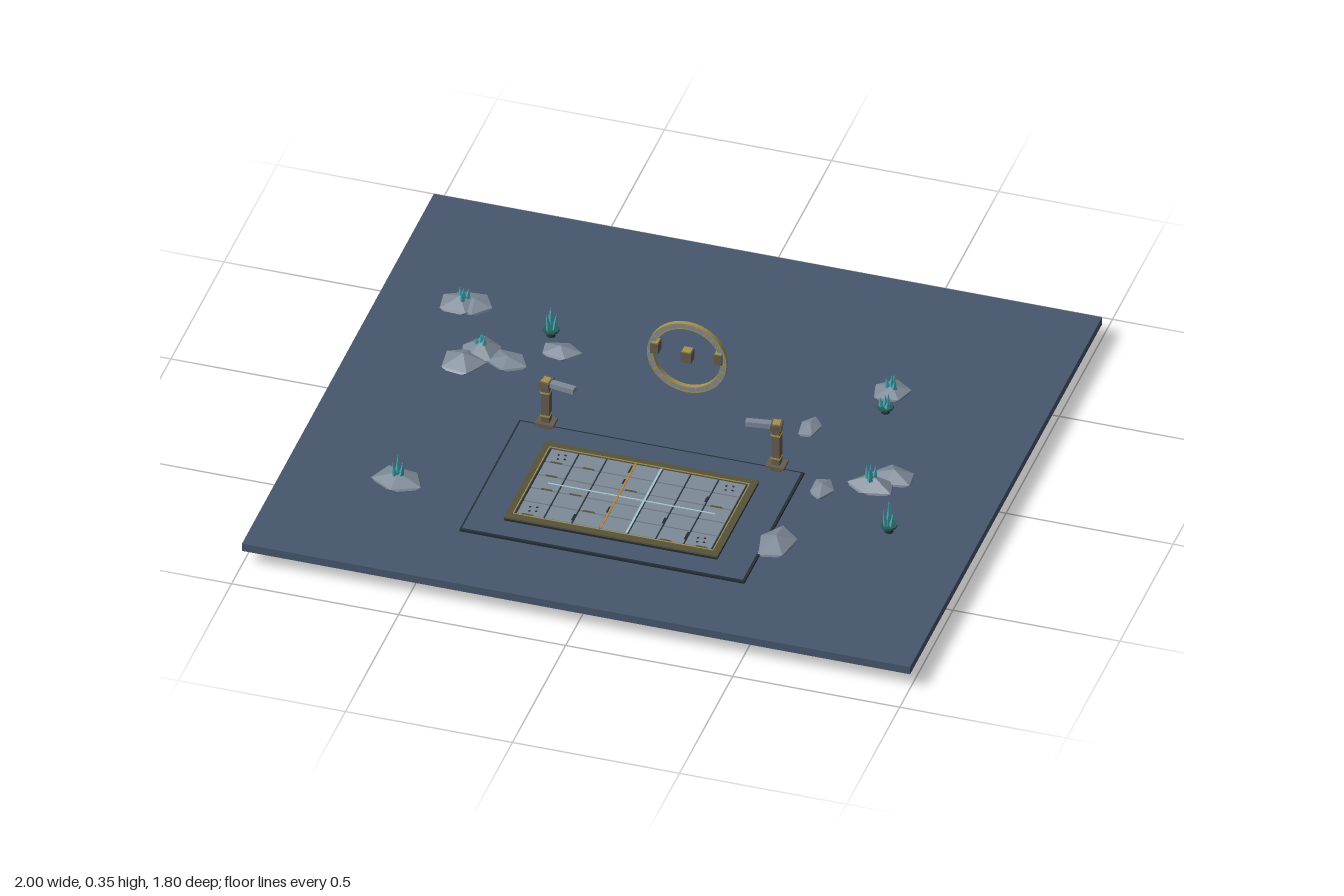
import * as THREE from 'three';

const mat = (name, color, extra = {}) => {
  const m = new THREE.MeshStandardMaterial({ color, ...extra });
  m.name = name;
  return m;
};

export function createModel() {
  const root = new THREE.Group();
  root.name = 'ruinCourt';

  const ground = mat('slate ground', 0x46576d);
  const dark = mat('dark joint', 0x252d36);
  const stone = mat('pale stone', 0x7f8b99, { flatShading: true });
  const weathered = mat('weathered stone', 0x655c4c);
  const bronze = mat('olive bronze', 0x57533a);
  const gold = mat('gold', 0xa59150);
  const teal = mat('teal crystal', 0x43a5ae, { flatShading: true });
  const moss = mat('deep green', 0x2a5a54, { flatShading: true });
  const pale = mat('pale inlay', 0xa9cad6);
  const orange = mat('orange inlay', 0xba8639);

  let seed = 7;
  const rand = () => (seed = (seed * 16807) % 2147483647) / 2147483647;

  const add = (parent, name, geo, material, x = 0, y = 0, z = 0) => {
    const m = new THREE.Mesh(geo, material);
    m.name = name;
    m.position.set(x, y, z);
    parent.add(m);
    return m;
  };
  const box = (parent, name, material, w, h, d, x, y, z) =>
    add(parent, name, new THREE.BoxGeometry(w, h, d), material, x, y, z);
  const group = (name, x, y, z) => {
    const g = new THREE.Group();
    g.name = name;
    g.position.set(x, y, z);
    root.add(g);
    return g;
  };

  // Ground slab and the low plinth with its dark edge
  box(root, 'groundSlab', ground, 2, 0.025, 1.805, 0, 0.0675, 0);
  box(root, 'plinthEdge', dark, 0.853, 0.008, 0.564, -0.001, 0.083, 0.374);
  box(root, 'plinth', ground, 0.84, 0.009, 0.55, -0.002, 0.0835, 0.373);

  // Paved deck: dark bed, olive border with gold trim, tiles
  const deck = group('deck', 0, -0.003, 0.382);
  box(deck, 'deckBed', dark, 0.638, 0.014, 0.39, 0, 0.092, 0);
  for (const s of [-1, 1]) {
    box(deck, 'longBorder', bronze, 0.64, 0.005, 0.028, 0, 0.101, s * 0.182);
    box(deck, 'shortBorder', bronze, 0.024, 0.005, 0.336, s * 0.308, 0.101, 0);
    box(deck, 'longTrim', gold, 0.6, 0.002, 0.003, 0, 0.104, s * 0.171);
    box(deck, 'shortTrim', gold, 0.003, 0.002, 0.34, s * 0.299, 0.104, 0);
  }
  const cols = 7, rows = 5, cw = 0.0837, rh = 0.0668;
  for (let c = 0; c < cols; c++) for (let r = 0; r < rows; r++) {
    const x = (c - 3) * cw, z = (r - 2) * rh;
    box(deck, 'tile', stone, cw - 0.005, 0.006, rh - 0.005, x, 0.1, z);
    // Chips and moss along some joints
    if (rand() > 0.65)
      box(deck, 'chip', dark, 0.007, 0.0012, 0.018 + rand() * 0.02, x + cw * 0.46, 0.1034, z + (rand() - 0.5) * 0.02);
    if (rand() > 0.7)
      box(deck, 'mossJoint', bronze, 0.034, 0.0012, 0.006, x + (rand() - 0.5) * 0.03, 0.1034, z + rh * 0.46);
    // Stud marks on the corner tiles
    if (c % 6 === 0 && r % 4 === 0)
      for (let i = 0; i < 4; i++)
        box(deck, 'cornerMark', dark, 0.006, 0.0012, 0.006,
          x + Math.cos(i * Math.PI / 2 + 0.6) * 0.014, 0.1034, z + Math.sin(i * Math.PI / 2 + 0.6) * 0.014);
  }
  // Inlaid lines
  box(deck, 'orangeLine', orange, 0.006, 0.002, 0.33, -0.04, 0.1045, 0);
  box(deck, 'paleLine', pale, 0.006, 0.002, 0.33, 0.038, 0.1045, 0);
  box(deck, 'crossLine', pale, 0.5, 0.002, 0.004, 0, 0.1042, 0);

  // Standing stone ring with gold rims and hovering blocks
  const ring = group('ring', 0, 0.239, -0.145);
  const band = (name, ri, ro, depth, material) => {
    const s = new THREE.Shape().absarc(0, 0, ro, 0, Math.PI * 2);
    s.holes.push(new THREE.Path().absarc(0, 0, ri, 0, Math.PI * 2, true));
    const g = new THREE.ExtrudeGeometry(s, { depth, bevelEnabled: false, curveSegments: 24 });
    add(ring, name, g.translate(0, 0, -depth / 2), material);
  };
  band('ringCore', 0.102, 0.117, 0.012, stone);
  band('outerRim', 0.1165, 0.119, 0.014, gold);
  band('innerRim', 0.1, 0.1025, 0.014, gold);
  for (let i = 0; i < 24; i++) {
    const a = i / 24 * Math.PI * 2;
    box(ring, 'ringJoint', gold, 0.013, 0.005, 0.014, Math.cos(a) * 0.1095, Math.sin(a) * 0.1095, 0).rotation.z = a;
  }
  for (const s of [-1, 0, 1]) {
    const y = s ? 0.018 : 0.006;
    box(ring, 'ringBlock', weathered, s ? 0.024 : 0.032, 0.034, 0.032, s * 0.095, y, 0);
    box(ring, 'blockCap', gold, s ? 0.02 : 0.026, 0.004, 0.026, s * 0.095, y + 0.018, 0);
  }

  // Pair of posts with inward arms
  for (const s of [-1, 1]) {
    const post = group(s < 0 ? 'rightPost' : 'leftPost', s * 0.345, 0, 0.098);
    box(post, 'postFoot', weathered, 0.032, 0.024, 0.032, 0, 0.09, 0);
    box(post, 'postBase', weathered, 0.056, 0.008, 0.046, 0, 0.104, 0);
    box(post, 'postShaft', weathered, 0.025, 0.13, 0.025, 0, 0.167, 0);
    for (const y of [0.13, 0.21])
      box(post, 'postBand', gold, 0.028, 0.005, 0.028, 0, y, 0);
    const arm = new THREE.Group();
    arm.name = 'arm';
    arm.rotation.y = s * 0.15;
    post.add(arm);
    box(arm, 'armBeam', stone, 0.106, 0.016, 0.022, -s * 0.037, 0.24, 0);
    box(arm, 'armCollar', weathered, 0.032, 0.018, 0.04, 0, 0.24, 0);
    box(arm, 'armCap', gold, 0.022, 0.003, 0.026, 0, 0.2495, 0);
  }

  // Faceted lump: two rings of five corners between a top and a bottom point
  const rock = (name, x, z, rx, rz, heights, turn, upper, lower) => {
    const g = new THREE.IcosahedronGeometry(1, 0).rotateZ(-0.5536).rotateY(turn);
    const p = g.attributes.position;
    for (let i = 0; i < p.count; i++) {
      const a = p.getX(i), b = p.getY(i), c = p.getZ(i);
      const f = (b > 0 ? upper : lower) * (1 + 0.08 * Math.sin(a * 3 + c * 2 + turn * 5));
      const level = b > 0.7 ? 0 : b > 0 ? 1 : b > -0.7 ? 2 : 3;
      p.setXYZ(i, a * f * rx, heights[level], c * f * rz);
    }
    g.computeVertexNormals();
    add(root, name, g, stone, x, 0, z);
  };

  // Rocks lying on the slab [x, z, rx, rz, top, turn]
  const rocks = [
    [-0.765, -0.41, 0.068, 0.06, 0.108, 0.2], [-0.725, -0.42, 0.055, 0.058, 0.1, 1.1],
    [-0.635, -0.205, 0.062, 0.07, 0.12, 0.5], [-0.67, -0.14, 0.07, 0.07, 0.112, 1.4],
    [-0.55, -0.18, 0.062, 0.052, 0.1, 2.2], [-0.42, -0.272, 0.064, 0.045, 0.102, 0.1],
    [-0.67, 0.47, 0.076, 0.062, 0.108, 0.9], [0.54, -0.37, 0.06, 0.058, 0.105, 1.6],
    [0.372, -0.13, 0.034, 0.054, 0.1, 0.3], [0.63, 0.09, 0.072, 0.052, 0.12, 0.7],
    [0.675, 0.03, 0.068, 0.055, 0.11, 1.9], [0.495, 0.145, 0.036, 0.053, 0.1, 1.2],
    [0.452, 0.44, 0.062, 0.085, 0.11, 0.4],
  ];
  for (const [x, z, rx, rz, top, turn] of rocks)
    rock('rock', x, z, rx, rz, [top, 0.086, 0.07, 0.062], turn, 1.1, 1);

  // Rocks hanging below the slab [x, z, radius, bottom]
  const hanging = [
    [-0.72, 0.41, 0.058, 0.008], [-0.72, -0.4, 0.058, 0.01], [-0.66, -0.13, 0.05, 0.01],
    [-0.6, 0.015, 0.04, 0.012], [-0.56, -0.156, 0.045, 0.025], [-0.444, -0.09, 0.055, 0.006],
    [-0.47, -0.322, 0.048, 0.015], [-0.375, -0.235, 0.04, 0.025], [0.53, -0.344, 0.05, 0.03],
    [0.54, -0.24, 0.04, 0.025], [0.52, 0.2, 0.058, 0.018], [0.365, 0.175, 0.055, 0.01],
    [0.734, 0.3, 0.045, 0.014], [0.61, 0.09, 0.055, 0.016],
  ];
  hanging.forEach(([x, z, r, low], i) =>
    rock('hangingRock', x, z, r, r * 0.95, [0.068, 0.064, low + 0.016, low], i * 0.7, 1, 0.9));

  // Crystal clusters [x, z, base, tip, on a stand]
  const clusters = [
    [-0.755, -0.412, 0.1, 0.137, 0], [-0.637, -0.205, 0.112, 0.14, 0], [-0.67, 0.47, 0.1, 0.178, 0],
    [0.54, -0.37, 0.098, 0.142, 0], [0.625, 0.095, 0.11, 0.168, 0],
    [-0.47, -0.34, 0.104, 0.188, 1], [0.553, -0.27, 0.102, 0.142, 1], [0.74, 0.285, 0.104, 0.188, 1],
  ];
  for (const [x, z, base, tip, stand] of clusters) {
    const g = group('crystalCluster', x, base, z), h = tip - base;
    if (stand) {
      add(g, 'standFoot', new THREE.CylinderGeometry(0.01, 0.014, 0.024, 8), dark, 0, -0.014, 0);
      add(g, 'standDisc', new THREE.CylinderGeometry(0.024, 0.024, 0.006, 10), moss, 0, -0.003, 0);
    }
    const crystal = (len, r, px, pz) => {
      const c = add(g, 'crystal', new THREE.ConeGeometry(r, len, 4), teal, px, len / 2, pz);
      c.rotation.set(pz * 9, 0, -px * 9);
    };
    crystal(h, 0.01, 0, 0);
    for (let i = 0; i < 3; i++) {
      const a = i * 2.094 + x * 9;
      crystal(h * (0.65 + 0.25 * rand()), 0.009, Math.cos(a) * 0.014, Math.sin(a) * 0.014);
    }
  }
  return root;
}
